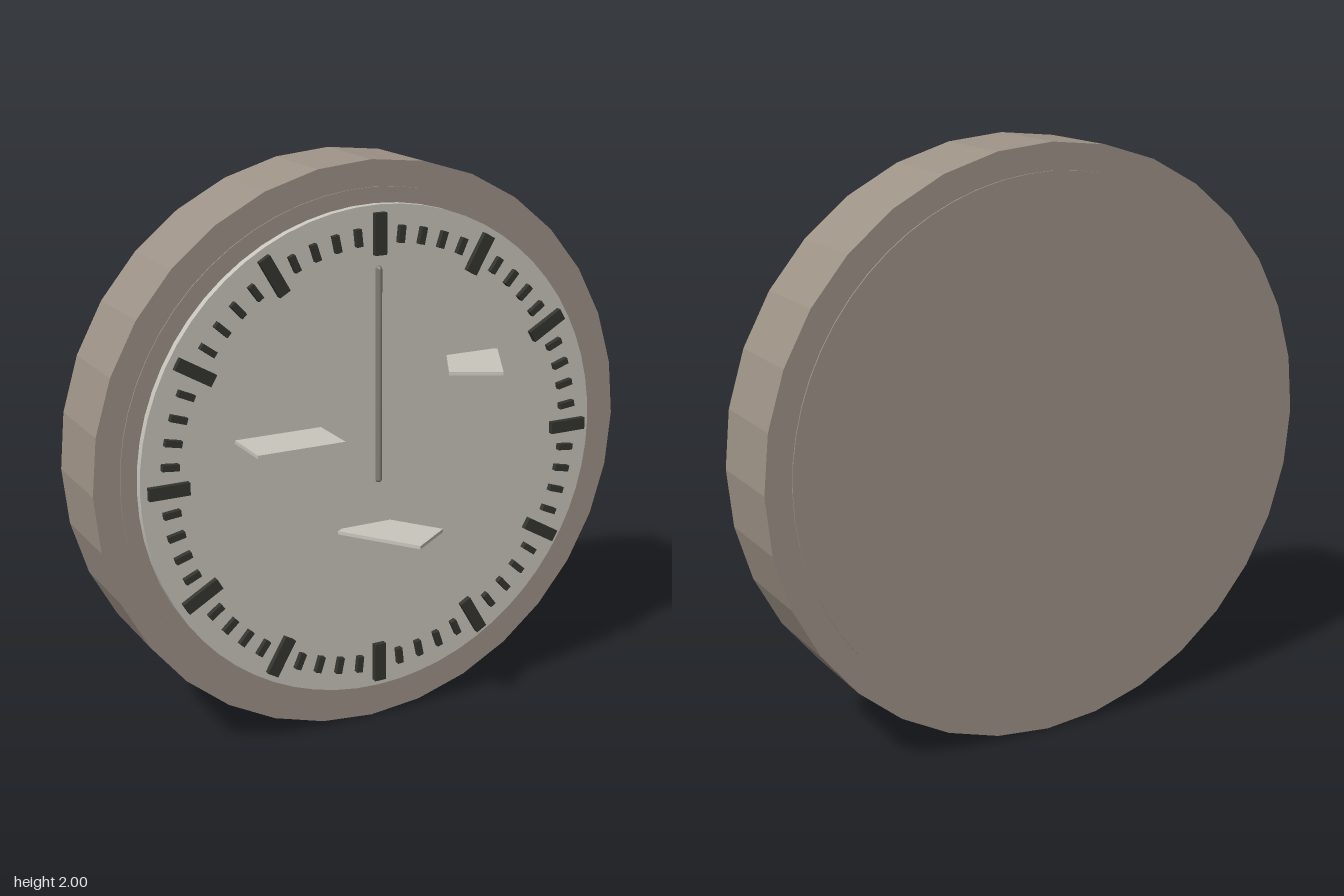
import * as THREE from 'three';

const paint = (name, color, flatShading = false) => {
  const m = new THREE.MeshStandardMaterial({ color, flatShading });
  m.name = name;
  return m;
};

export function createModel() {
  const clock = new THREE.Group();
  clock.name = 'wallClock';

  const taupe = paint('taupe case', 0x9d9286, true);
  const pale = paint('pale dial', 0xc8c5bc);
  const dark = paint('dark marks', 0x34352f);
  const grey = paint('grey hand', 0x817b71);

  const add = (name, geometry, material, parent = clock) => {
    const mesh = new THREE.Mesh(geometry, material);
    mesh.name = name;
    parent.add(mesh);
    return mesh;
  };

  // Disc facing the front, spanning z0 to z1
  const disc = (name, radius, z0, z1, sides, material) => {
    const g = new THREE.CylinderGeometry(radius, radius, z1 - z0, sides).rotateX(Math.PI / 2);
    add(name, g, material).position.set(0, 1, (z0 + z1) / 2);
  };

  // Faceted case, its inset core showing on both ends, and the floating dial
  disc('case', 1, -0.32, 0, 32, taupe);
  disc('caseCore', 0.91, -0.325, 0.004, 64, taupe);
  disc('dial', 0.86, 0.02, 0.048, 64, pale);

  // Sixty marks around the dial, with a spacer behind each hour
  const marks = new THREE.Group();
  marks.name = 'marks';
  marks.position.y = 1;
  clock.add(marks);
  const hourMark = new THREE.BoxGeometry(0.043, 0.14, 0.022);
  const minuteMark = new THREE.BoxGeometry(0.022, 0.058, 0.022);
  for (let i = 0; i < 60; i++) {
    const a = (i / 60) * Math.PI * 2;
    const hour = i % 5 === 0;
    const r = hour ? 0.765 : 0.762;
    const mark = add(hour ? 'hourMark' : 'minuteMark', hour ? hourMark : minuteMark, dark, marks);
    mark.position.set(Math.sin(a) * r, Math.cos(a) * r, 0.057);
    mark.rotation.z = -a;
    if (hour) {
      const size = i % 15 === 0 ? 0.055 : 0.036;
      const g = new THREE.CylinderGeometry(size, size, 0.022, 16).rotateX(Math.PI / 2);
      add('spacer', g, grey, marks).position.set(Math.sin(a) * 0.8, Math.cos(a) * 0.8, 0.011);
    }
  }

  // Upright hand
  const hand = add('hand', new THREE.CapsuleGeometry(0.012, 0.731, 4, 12), grey);
  hand.position.set(0, 1.282, 0.042);
  hand.scale.z = 2;

  // Thin shelves standing out of the dial: x, y, z, turn
  const shelf = new THREE.BoxGeometry(0.31, 0.012, 0.18);
  [
    [-0.375, 1.13, 0.145, 0],
    [0.313, 1.315, 0.147, 1.08],
    [0, 0.753, 0.138, -0.952],
  ].forEach(([x, y, z, turn]) => {
    const mesh = add('shelf', shelf, pale);
    mesh.position.set(x, y, z);
    mesh.rotation.y = turn;
  });

  return clock;
}
